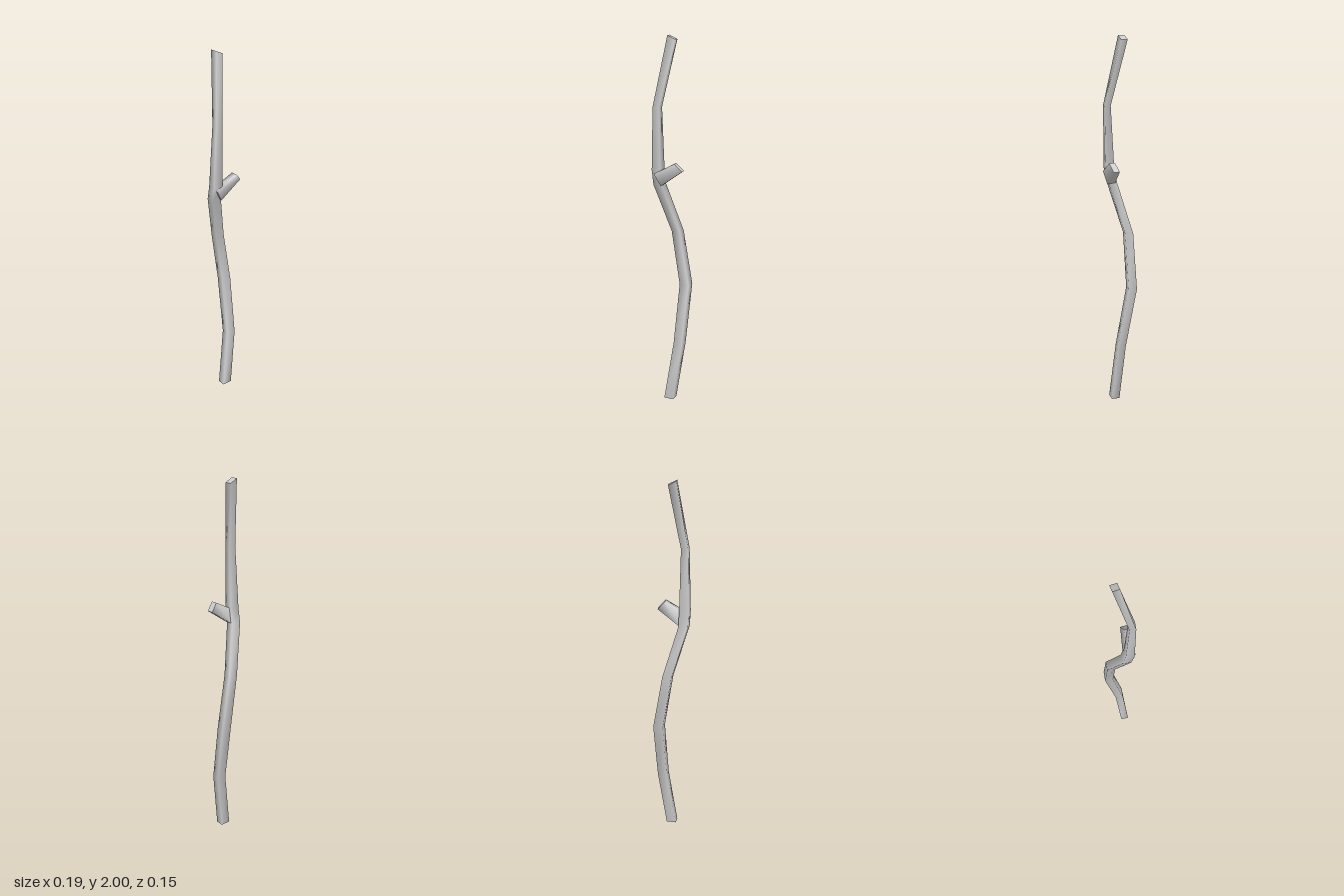
import * as THREE from 'three';

// Sweeps a four-sided section along rings of { p: centre, u, v: half-axes };
// the sides share normals, the two end caps stay flat.
function limb(name, rings) {
  const corners = rings.map(({ p, u, v }) =>
    [[1, 1], [1, -1], [-1, -1], [-1, 1]].map(([a, b]) => p.map((c, i) => c + a * u[i] + b * v[i])));
  const pos = corners.flat(2);
  const index = [];
  for (let r = 0; r < rings.length - 1; r++) {
    for (let k = 0; k < 4; k++) {
      const a = r * 4 + k, b = r * 4 + (k + 1) % 4;
      index.push(a, b, b + 4, a, b + 4, a + 4);
    }
  }
  // End caps with their own vertices
  const start = pos.length / 3;
  pos.push(...corners[0].flat(), ...corners[corners.length - 1].flat());
  index.push(start, start + 2, start + 1, start, start + 3, start + 2);
  index.push(start + 4, start + 5, start + 6, start + 4, start + 6, start + 7);

  const geo = new THREE.BufferGeometry();
  geo.setAttribute('position', new THREE.Float32BufferAttribute(pos, 3));
  geo.setIndex(index);
  geo.computeVertexNormals();
  const mesh = new THREE.Mesh(geo, new THREE.MeshStandardMaterial({ color: 0xcccccc }));
  mesh.name = name;
  return mesh;
}

// Level trunk section, turned slightly about y; tilt drops its +x side
function section(x, y, z, w, d, yaw = 0.16, tilt = 0) {
  const c = Math.cos(yaw), s = Math.sin(yaw);
  return { p: [x, y, z], u: [w * c, -tilt, w * s], v: [-d * s, 0, d * c] };
}

export function createModel() {
  const group = new THREE.Group();
  group.name = 'stick';

  // Crooked main stem, tapering upwards
  group.add(limb('stem', [
    section(0, 0, 0.029, 0.027, 0.022, 0.1),
    section(0.048, 0.33, 0.01, 0.026, 0.022),
    section(0.064, 0.66, -0.047, 0.027, 0.023),
    section(0.015, 0.96, -0.047, 0.025, 0.022),
    section(-0.065, 1.225, 0.013, 0.026, 0.023),
    section(-0.068, 1.305, 0.029, 0.026, 0.023),
    section(-0.067, 1.64, 0.04, 0.019, 0.016),
    section(-0.008, 1.99, -0.025, 0.021, 0.018, 0, 0.01),
  ]));

  // Short cut-off side branch, rooted inside the stem
  group.add(limb('branch', [
    { p: [-0.065, 1.255, 0.03], u: [0.018, -0.033, -0.005], v: [0, 0, 0.022] },
    { p: [0.057, 1.331, 0.05], u: [0.0195, -0.021, -0.005], v: [0, 0, 0.0165] },
  ]));

  return group;
}
